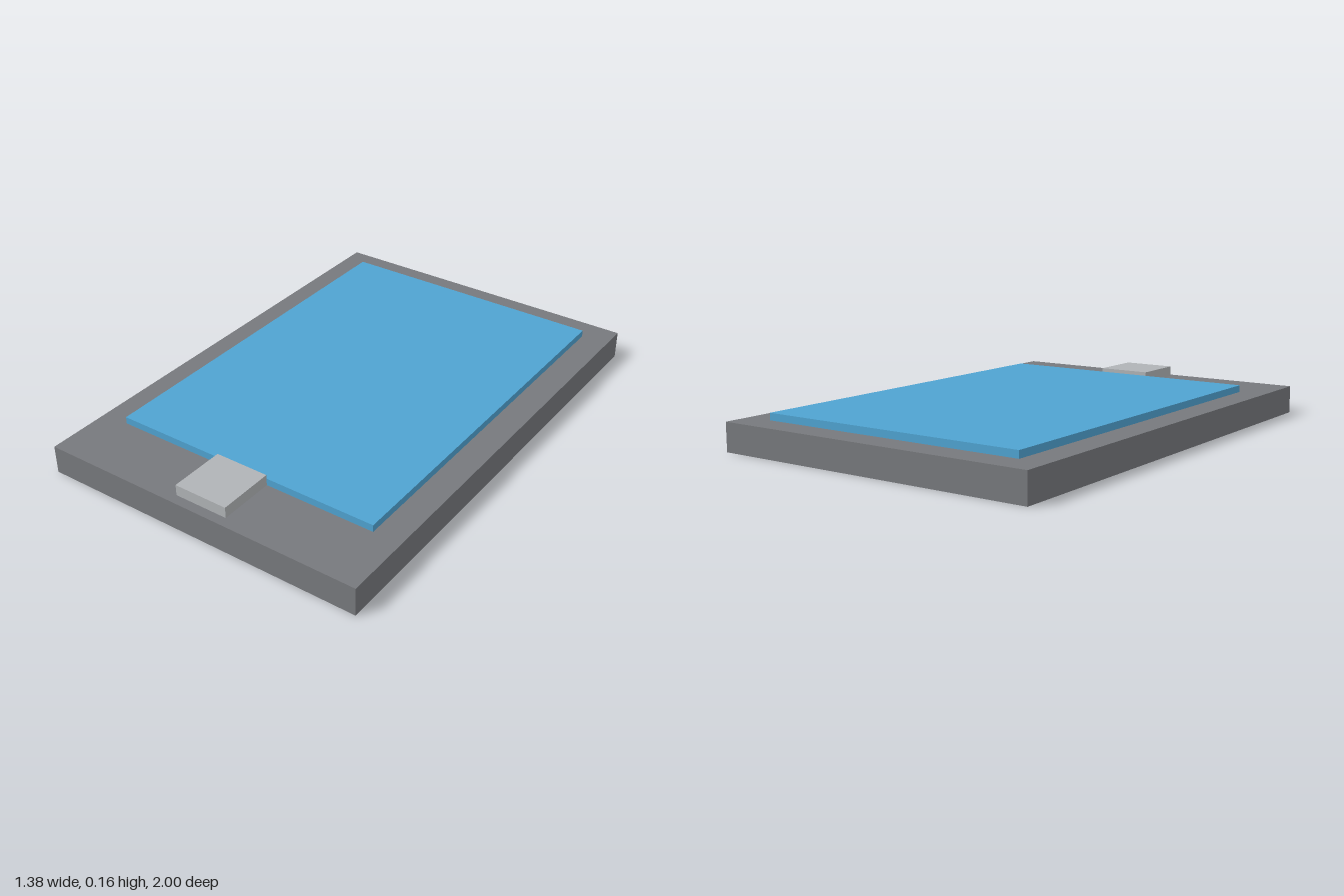
import * as THREE from 'three';

const material = (name, color) => {
  const m = new THREE.MeshStandardMaterial({ color });
  m.name = name;
  return m;
};

// Box placed by its lower and upper corners
function block(name, mat, [x0, y0, z0], [x1, y1, z1]) {
  const mesh = new THREE.Mesh(new THREE.BoxGeometry(x1 - x0, y1 - y0, z1 - z0), mat);
  mesh.name = name;
  mesh.position.set((x0 + x1) / 2, (y0 + y1) / 2, (z0 + z1) / 2);
  return mesh;
}

export function createModel() {
  const darkGrey = material('dark grey', 0x77797d);
  const blue = material('screen blue', 0x4fa3d1);
  const lightGrey = material('light grey', 0xb0b3b6);

  const tablet = new THREE.Group();
  tablet.name = 'tablet';
  const top = 0.117;
  tablet.add(
    // Flat casing
    block('casing', darkGrey, [-0.692, 0, -1], [0.692, top, 1]),
    // Raised screen, set towards the back
    block('screen', blue, [-0.577, top, -0.885], [0.577, 0.146, 0.73]),
    // Button in front of the screen
    block('button', lightGrey, [-0.114, top, 0.73], [0.114, 0.162, 0.96]),
  );
  return tablet;
}
